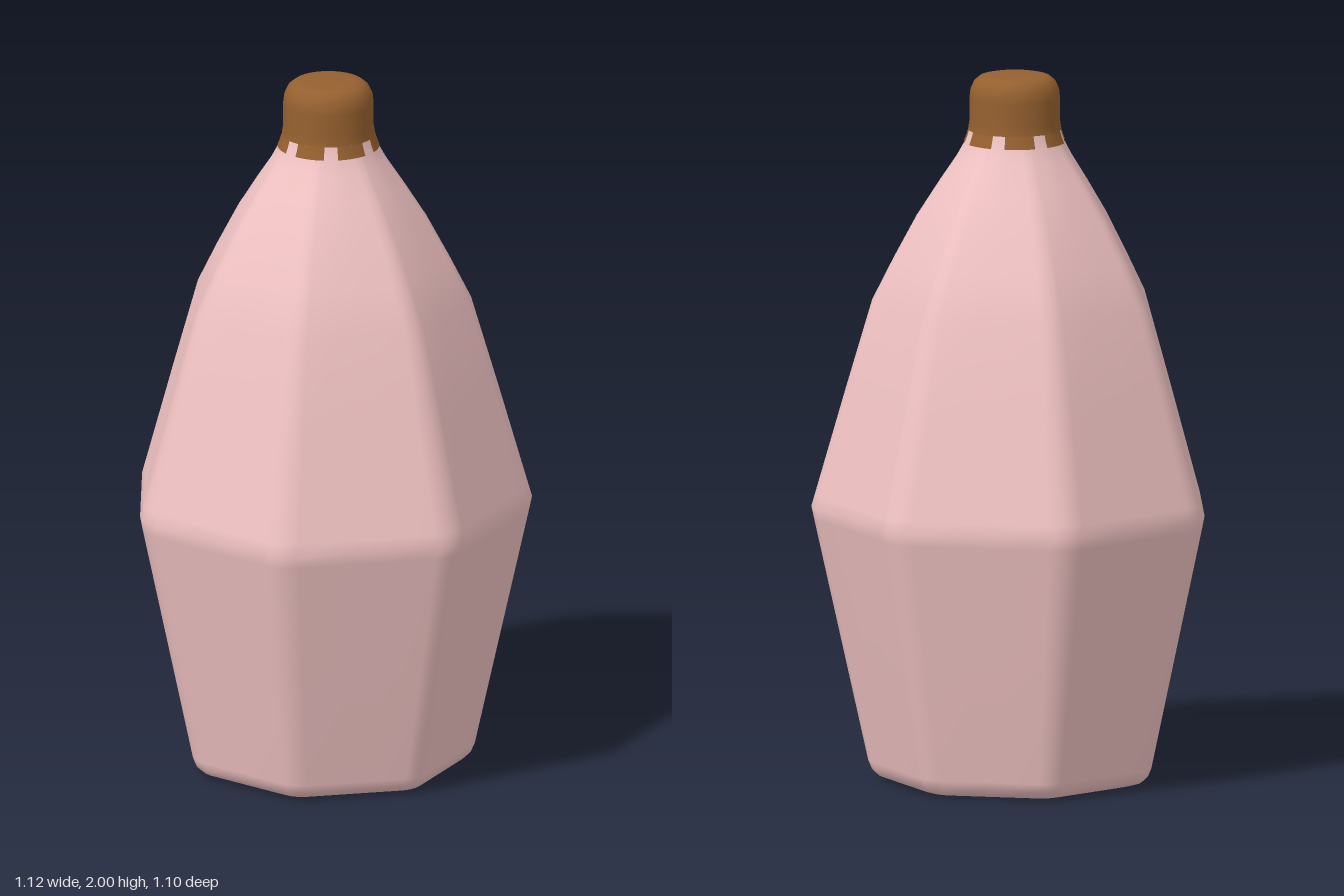
import * as THREE from 'three';

const SIDES = 7;
const STEP = (2 * Math.PI) / SIDES;
const AXIS_Z = 0.02;

// Heptagon with filleted corners, one corner pointing to the back
function heptagon() {
  const fillet = 0.205;
  const reach = 1.05 - fillet / Math.cos(STEP / 2);
  const pts = [];
  for (let k = 0; k < SIDES; k++) {
    const a = Math.PI + k * STEP;
    for (let j = -3; j <= 3; j++) {
      const b = a + (j / 3) * (STEP / 2);
      pts.push(new THREE.Vector2(
        reach * Math.sin(a) + fillet * Math.sin(b),
        reach * Math.cos(a) + fillet * Math.cos(b)));
    }
    // two points along the flat side
    const start = pts[pts.length - 1];
    const n = a + STEP;
    const end = new THREE.Vector2(
      reach * Math.sin(n) + fillet * Math.sin(n - STEP / 2),
      reach * Math.cos(n) + fillet * Math.cos(n - STEP / 2));
    pts.push(start.clone().lerp(end, 1 / 3), start.clone().lerp(end, 2 / 3));
  }
  return pts;
}

// Lofts the section through rings of [height, size, roundness]
function loftBody(rings) {
  const section = heptagon();
  const n = section.length;
  const pos = [];
  const index = [];
  for (const [y, size, round] of rings) {
    for (const p of section) {
      const q = p.clone().lerp(p.clone().normalize(), round).multiplyScalar(size);
      pos.push(q.x, y, q.y);
    }
  }
  for (let i = 0; i < rings.length - 1; i++) {
    for (let j = 0; j < n; j++) {
      const a = i * n + j;
      const b = i * n + ((j + 1) % n);
      index.push(a, b, b + n, a, b + n, a + n);
    }
  }
  // flat underside
  const centre = pos.length / 3;
  pos.push(0, 0, 0);
  for (let j = 0; j < n; j++) index.push(centre, (j + 1) % n, j);
  const geo = new THREE.BufferGeometry();
  geo.setAttribute('position', new THREE.Float32BufferAttribute(pos, 3));
  geo.setIndex(index);
  geo.computeVertexNormals();
  return geo;
}

const profile = (pts) => pts.map(([r, y]) => new THREE.Vector2(r, y));

export function createModel() {
  const model = new THREE.Group();
  model.name = 'bottle';
  const pink = new THREE.MeshStandardMaterial({ color: 0xf0c2c2 });
  const brown = new THREE.MeshStandardMaterial({ color: 0x95602f, side: THREE.DoubleSide });

  const add = (name, geo, material, parent = model) => {
    const mesh = new THREE.Mesh(geo, material);
    mesh.name = name;
    parent.add(mesh);
    return mesh;
  };

  // Seven-sided body that turns round towards the neck
  add('body', loftBody([
    [0, 0.3, 0], [0, 0.345, 0], [0.008, 0.372, 0], [0.025, 0.39, 0], [0.05, 0.4, 0],
    [0.4, 0.475, 0], [0.74, 0.548, 0], [0.775, 0.555, 0], [0.81, 0.545, 0], [1.1, 0.464, 0],
    [1.36, 0.39, 0.05], [1.48, 0.332, 0.15], [1.6, 0.27, 0.3], [1.7, 0.208, 0.55],
    [1.77, 0.162, 0.85], [1.81, 0.14, 1], [1.845, 0.128, 1], [1.87, 0.122, 1],
  ]), pink);

  // Rounded stopper
  const cap = new THREE.Group();
  cap.name = 'cap';
  model.add(cap);
  add('stopper', new THREE.LatheGeometry(profile([
    [0.131, 1.845], [0.127, 1.87], [0.127, 1.935], [0.124, 1.96],
    [0.114, 1.982], [0.098, 1.995], [0.075, 2], [0, 2],
  ]), 48), brown, cap);

  // Tabs around the lower rim, with narrow gaps between them
  const gap = THREE.MathUtils.degToRad(16);
  const firstGap = THREE.MathUtils.degToRad(-9);
  const rim = profile([[0.143, 1.81], [0.136, 1.828], [0.131, 1.845]]);
  for (let k = 0; k < SIDES; k++) {
    add('capTab', new THREE.LatheGeometry(rim, 6, firstGap + gap / 2 + k * STEP, STEP - gap), brown, cap);
  }

  model.children.forEach((part) => { part.position.z = AXIS_Z; });
  return model;
}
